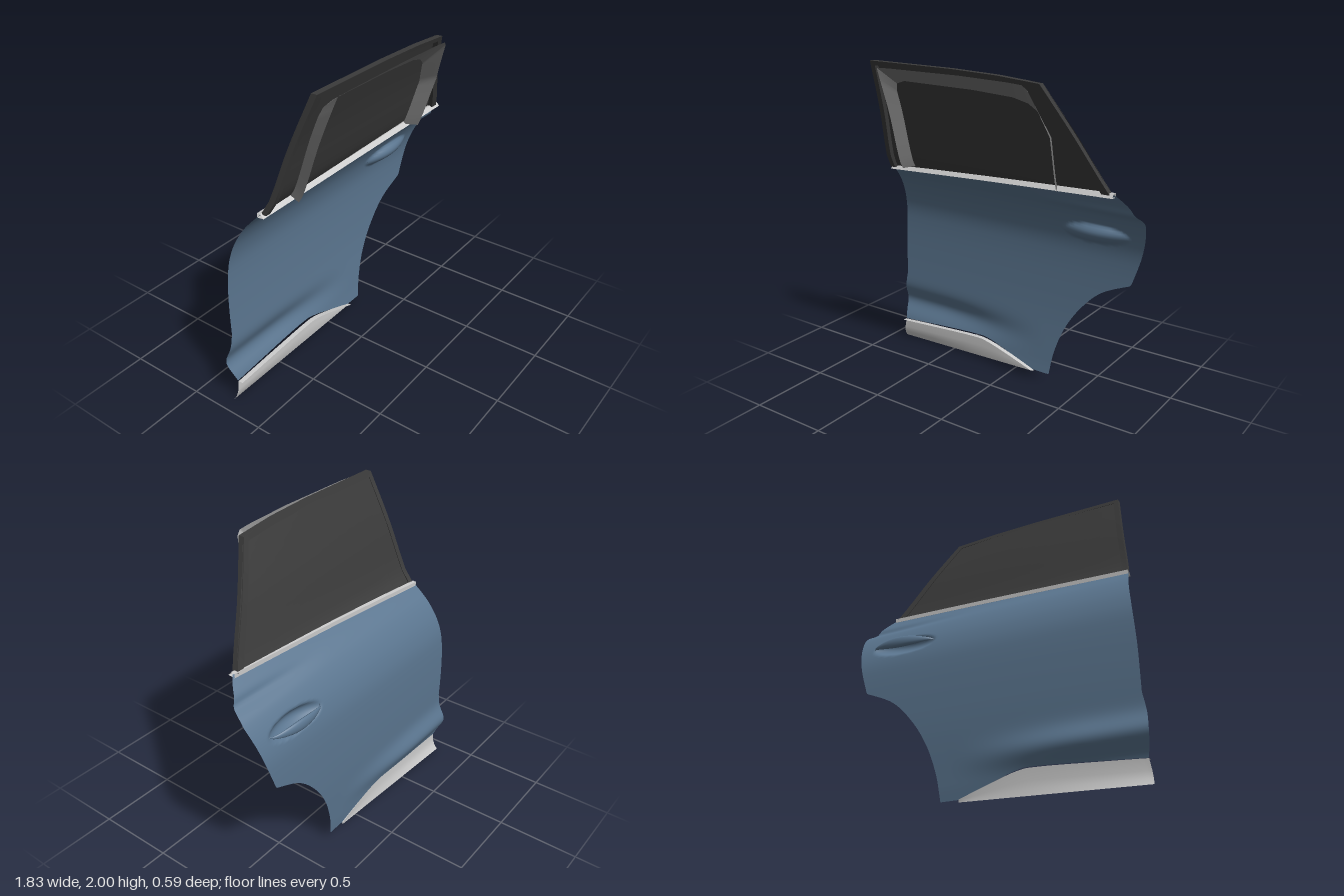
import * as THREE from 'three';
import { toCreasedNormals } from 'three/addons/utils/BufferGeometryUtils.js';

const mat = (color) => new THREE.MeshStandardMaterial({ color, side: THREE.DoubleSide });
const V3 = (x, y, z) => new THREE.Vector3(x, y, z);
const smooth = THREE.MathUtils.smoothstep;

// Smooth height-to-depth curve through [y, z] pairs
function profile(pts) {
  const slope = (i) => {
    const a = pts[Math.max(i - 1, 0)], b = pts[Math.min(i + 1, pts.length - 1)];
    return (b[1] - a[1]) / (b[0] - a[0]);
  };
  return (y) => {
    let i = 0;
    while (i < pts.length - 2 && y > pts[i + 1][0]) i++;
    const [y0, z0] = pts[i], [y1, z1] = pts[i + 1], h = y1 - y0;
    const t = THREE.MathUtils.clamp((y - y0) / h, 0, 1), s = 1 - t;
    return z0 * (1 + 2 * t) * s * s + slope(i) * h * t * s * s
      + z1 * t * t * (3 - 2 * t) - slope(i + 1) * h * t * t * s;
  };
}

// Surface through equally long rows of points
function loft(rows, crease) {
  const n = rows[0].length, index = [];
  for (let i = 0; i < rows.length - 1; i++)
    for (let j = 0; j < n - 1; j++) {
      const a = i * n + j, b = a + n;
      index.push(a, a + 1, b, b, a + 1, b + 1);
    }
  const geo = new THREE.BufferGeometry().setFromPoints(rows.flat());
  geo.setIndex(index);
  geo.computeVertexNormals();
  return crease ? toCreasedNormals(geo, crease) : geo;
}

const spline = (pts) => new THREE.SplineCurve(pts.map((p) => new THREE.Vector2(...p)));
function joined(...curves) {
  const path = new THREE.CurvePath();
  curves.forEach((c) => path.add(c));
  return path;
}
// Straight segments, each split into equal steps
function polyline(pts, steps = 8) {
  const out = [pts[0]];
  for (let i = 1; i < pts.length; i++)
    for (let k = 1; k <= steps; k++)
      out.push([0, 1].map((c) => THREE.MathUtils.lerp(pts[i - 1][c], pts[i][c], k / steps)));
  return out;
}

const bodyZ = profile([[0.05, -0.235], [0.15, -0.245], [0.45, -0.265], [0.7, -0.27], [0.9, -0.265],
  [1.0, -0.25], [1.1, -0.215], [1.2, -0.155], [1.3, -0.065], [1.38, 0]]);
const glassZ = profile([[1.3, -0.06], [1.38, -0.012], [1.7, 0.092], [2.0, 0.21]]);

// Door skin depth: base profile, sill bulge, shoulder crease and handle bowl
function skinZ(x, y) {
  let z = bodyZ(y);
  z -= 0.048 * Math.exp(-(((y - 0.27) / 0.085) ** 2)) * (1 - smooth(x, -0.6, 0.25));
  z += 0.025 * Math.exp(-(((y - 1.25) / 0.03) ** 2)) * smooth(x, 0.1, 0.85);
  const r2 = ((x - 0.58) / 0.22) ** 2 + ((y - 1.06 - 0.03 * (x - 0.58)) / 0.062) ** 2;
  return r2 < 1 ? z + 0.055 * (1 - r2) : z;
}

export function createModel() {
  const group = new THREE.Group();
  const blue = mat(0x5b7690), dark = mat(0x3a3a3a), sealGrey = mat(0x777777), grey = mat(0xcccccc);
  const add = (name, geo, material) => {
    const mesh = new THREE.Mesh(geo, material);
    mesh.name = name;
    group.add(mesh);
  };

  // Door skin: patch spanned between its four edge curves
  const front = joined(spline([[-0.89, 0.14], [-0.917, 0.28], [-0.885, 0.48]]),
    spline([[-0.885, 0.48], [-0.88, 0.75], [-0.86, 0.98], [-0.83, 1.16], [-0.8, 1.295]]));
  const rear = joined(spline([[0.285, 0.06], [0.31, 0.21], [0.37, 0.38], [0.47, 0.54], [0.61, 0.68], [0.8, 0.77]]),
    spline([[0.8, 0.77], [0.86, 0.95], [0.905, 1.13], [0.912, 1.2], [0.88, 1.265], [0.84, 1.33], [0.8, 1.375]]));
  const bottomPts = [[-0.89, 0.14], [-0.6, 0.16], [-0.3, 0.178], [-0.18, 0.172], [0, 0.118], [0.17, 0.06]];
  const bottom = joined(spline(bottomPts), spline([[0.17, 0.06], [0.285, 0.06]]));
  const top = spline([[-0.8, 1.295], [0, 1.34], [0.8, 1.375]]);
  const U = 130, W = 120, rows = [];
  const bs = [], ts = [];
  for (let i = 0; i <= U; i++) {
    bs.push(bottom.getPoint(i / U));
    ts.push(top.getPointAt(i / U));
  }
  for (let j = 0; j <= W; j++) {
    const v = j / W, l = front.getPoint(v), r = rear.getPoint(v);
    rows.push(bs.map((b, i) => {
      const u = i / U, t = ts[i];
      const [x, y] = ['x', 'y'].map((c) => (1 - u) * l[c] + u * r[c] + (1 - v) * b[c] + v * t[c]
        - (1 - v) * ((1 - u) * bs[0][c] + u * bs[U][c]) - v * ((1 - u) * ts[0][c] + u * ts[U][c]));
      return V3(x, y, skinZ(x, y));
    }));
  }
  add('doorSkin', loft(rows), blue);

  // Grip bar bowed across the handle bowl
  const rings = [];
  for (let i = 0; i <= 32; i++) {
    const t = i / 32, s = Math.sin(Math.PI * t), x = 0.375 + 0.415 * t, ring = [];
    for (let k = 0; k <= 16; k++) {
      const a = (k / 16) * Math.PI * 2;
      ring.push(V3(x, 1.065 + 0.03 * (x - 0.58) + Math.cos(a) * (0.004 + 0.03 * s),
        -0.228 - 0.047 * Math.sqrt(s) + Math.sin(a) * (0.003 + 0.014 * s)));
    }
    rings.push(ring);
  }
  add('handleGrip', loft(rings), blue);

  // Lower sill trim with a lip along its top and a flared foot
  const trimTop = spline(bottomPts), trimRows = [[], [], [], [], []];
  for (let i = 0; i <= 40; i++) {
    const t = i / 40, p = trimTop.getPointAt(t);
    const foot = V3(-0.915 + 1.085 * t, 0.045 * t, -0.27 + 0.03 * t);
    const at = (k, z) => V3(THREE.MathUtils.lerp(p.x, foot.x, k), THREE.MathUtils.lerp(p.y, foot.y, k), z);
    trimRows[0].push(at(0, -0.213));
    trimRows[1].push(at(0, -0.243));
    trimRows[2].push(at(0.45, -0.241));
    trimRows[3].push(at(0.75, -0.25 + 0.01 * t));
    trimRows[4].push(foot);
  }
  add('sillTrim', loft(trimRows, 0.7), grey);

  // Belt moulding swept along the top of the skin
  const beltSection = [[-0.016, -0.014], [0.01, -0.014], [0.012, 0.01], [-0.012, 0.03], [-0.016, -0.014]];
  add('beltMoulding', loft(beltSection.map(([dy, dz]) => ts.map((p) =>
    V3(p.x, p.y + dy, bodyZ(p.y) + dz))), 0.5), grey);

  // Glass and pillar covers, each spanned between two side lines
  const pane = (name, left, right) => {
    const a = polyline(left), b = polyline(right);
    add(name, loft(a.map((p, i) => Array.from({ length: 13 }, (_, k) => {
      const [x, y] = [0, 1].map((c) => THREE.MathUtils.lerp(p[c], b[i][c], k / 12));
      const crown = 0.012 * (1 - ((x + 0.1) / 0.58) ** 2) * smooth(y, 1.7, 2);
      return V3(x, y + Math.max(crown, 0), glassZ(y));
    }))), dark);
  };
  const frontLine = [[-0.6, 1.305], [-0.59, 1.68], [-0.58, 1.99]];
  const rearLine = [[0.49, 1.36], [0.5, 1.68], [0.42, 1.963]];
  pane('frontPillarCover', [[-0.79, 1.295], [-0.735, 1.68], [-0.68, 1.995]], frontLine);
  pane('windowGlass', frontLine, rearLine);
  pane('rearPillarCover', rearLine, [[0.78, 1.375], [0.62, 1.68], [0.46, 1.96]]);

  // Raised rim around the window: box section with mitred corners
  const rail = (pts, dz) => polyline(pts).map(([x, y]) => V3(x, y, glassZ(y) + dz));
  const rimOuter = [[-0.79, 1.3], [-0.68, 2.0], [-0.1, 1.995], [0.2, 1.983], [0.46, 1.96], [0.78, 1.375]];
  const rimInner = [[-0.757, 1.3], [-0.653, 1.972], [-0.1, 1.967], [0.2, 1.955], [0.435, 1.934], [0.73, 1.375]];
  add('windowRim', loft([rail(rimOuter, -0.006), rail(rimOuter, 0.03), rail(rimInner, 0.03),
    rail(rimInner, -0.004), rail(rimOuter, -0.006)], 0.5), dark);

  // Inner seal channel flaring from the glass into the cabin
  const sealOuter = [[-0.622, 1.33], [-0.603, 1.65], [-0.59, 1.9], [-0.585, 1.97], [-0.5, 1.973], [0, 1.972],
    [0.3, 1.962], [0.39, 1.955], [0.42, 1.93], [0.5, 1.68], [0.485, 1.36]];
  const sealInner = [[-0.59, 1.33], [-0.572, 1.65], [-0.562, 1.82], [-0.545, 1.87], [-0.48, 1.89], [0, 1.882],
    [0.26, 1.865], [0.35, 1.84], [0.4, 1.8], [0.457, 1.66], [0.443, 1.36]];
  add('windowSeal', loft([rail(sealInner, 0.008), rail(sealOuter, 0.09)], 0.6), sealGrey);

  return group;
}
